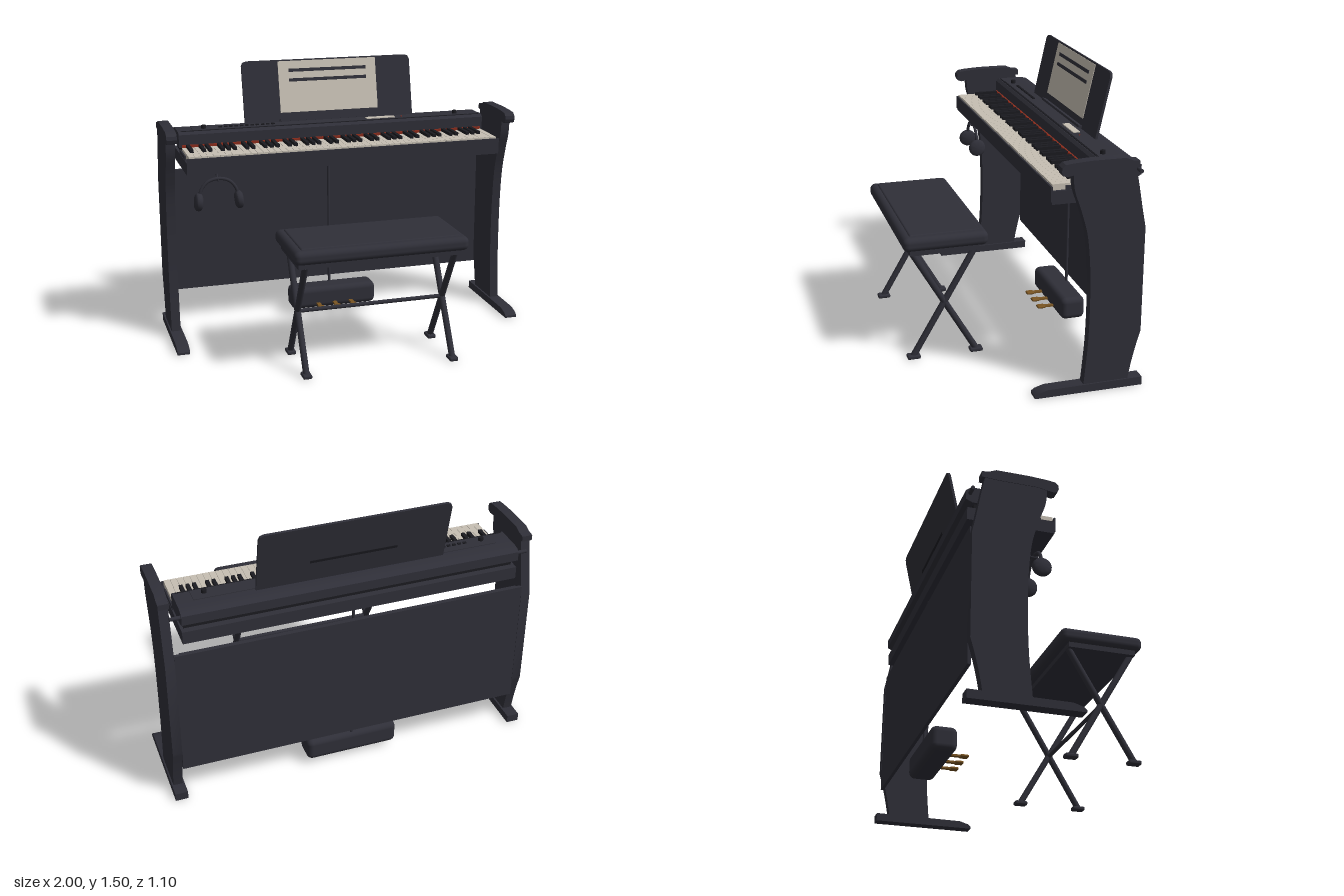
import * as THREE from 'three';
import { mergeGeometries, toCreasedNormals } from 'three/addons/utils/BufferGeometryUtils.js';
import { RoundedBoxGeometry } from 'three/addons/geometries/RoundedBoxGeometry.js';

const material = (name, color) => {
  const m = new THREE.MeshStandardMaterial({ color });
  m.name = name;
  return m;
};

export function createModel() {
  const body = material('charcoal', 0x2f2f38);
  const dark = material('black', 0x1b1b20);
  const ivory = material('ivory', 0xc6bfb3);
  const red = material('red felt', 0x8c2c1c);
  const brass = material('brass', 0x7a5522);

  const model = new THREE.Group();
  model.name = 'digitalPianoAndBench';

  const add = (name, geo, mat, parent = model) => {
    const mesh = new THREE.Mesh(geo, mat);
    mesh.name = name;
    parent.add(mesh);
    return mesh;
  };
  // Box geometry from its limits
  const span = (x0, x1, y0, y1, z0, z1, r = 0) => {
    const size = [x1 - x0, y1 - y0, z1 - z0];
    const g = r ? new RoundedBoxGeometry(...size, 3, r) : new THREE.BoxGeometry(...size);
    return g.translate((x0 + x1) / 2, (y0 + y1) / 2, (z0 + z1) / 2);
  };
  // Side outline of (z, y) points, extruded across x and centred on x
  const profile = (shape, width, x = 0) => {
    const g = new THREE.ExtrudeGeometry(shape, { depth: width, bevelEnabled: false, curveSegments: 10 });
    return toCreasedNormals(g.translate(0, 0, -width / 2).rotateY(-Math.PI / 2).translate(x, 0, 0), 0.5);
  };
  const outline = (pts) => new THREE.Shape(pts.map((p) => new THREE.Vector2(...p)));
  const tube = (pts, r, n = 24) =>
    new THREE.TubeGeometry(new THREE.CatmullRomCurve3(pts.map((p) => new THREE.Vector3(...p))), n, r, 10);
  const rod = (a, b, r) => {
    const from = new THREE.Vector3(...a), d = new THREE.Vector3(...b).sub(from);
    const g = new THREE.CylinderGeometry(r, r, d.length(), 14);
    g.applyQuaternion(new THREE.Quaternion().setFromUnitVectors(new THREE.Vector3(0, 1, 0), d.clone().normalize()));
    const c = from.addScaledVector(d, 0.5);
    return g.translate(c.x, c.y, c.z);
  };

  // Curved side stands with feet and arm caps
  const stand = new THREE.Shape();
  stand.moveTo(-0.24, 0.04);
  stand.splineThru([[-0.257, 0.25], [-0.262, 0.45], [-0.258, 0.65], [-0.24, 0.83], [-0.205, 0.96], [-0.168, 1.07], [-0.16, 1.16]]
    .map((p) => new THREE.Vector2(...p)));
  stand.lineTo(-0.475, 1.16);
  stand.splineThru([[-0.495, 1.06], [-0.515, 0.95], [-0.535, 0.85]].map((p) => new THREE.Vector2(...p)));
  stand.lineTo(-0.535, 0.3);
  stand.quadraticCurveTo(-0.495, 0.17, -0.475, 0.04);
  const foot = outline([[0.015, 0], [0.015, 0.012], [0, 0.025], [-0.05, 0.04], [-0.55, 0.044], [-0.55, 0]]);
  const cap = outline([[-0.1, 1.165], [-0.103, 1.185], [-0.12, 1.2], [-0.16, 1.205], [-0.25, 1.21], [-0.42, 1.21],
    [-0.455, 1.195], [-0.492, 1.19], [-0.492, 1.16], [-0.4, 1.155], [-0.21, 1.155], [-0.17, 1.147], [-0.125, 1.14], [-0.107, 1.147]]);
  for (const s of [-1, 1]) {
    const side = new THREE.Group();
    side.name = s > 0 ? 'leftStand' : 'rightStand';
    model.add(side);
    add('sidePanel', profile(stand, 0.05, s * 0.967), body, side);
    add('standFoot', profile(foot, 0.068, s * 0.966), body, side);
    add('armCap', profile(cap, 0.056, s * 0.967), body, side);
    add('mountingPin', rod([s * 0.89, 1.12, -0.522], [s * 0.95, 1.12, -0.522], 0.01), body, side);
  }

  // Back board with its upper beam
  add('backBoard', span(-0.943, 0.943, 0.19, 0.905, -0.533, -0.515), body);
  add('backBeam', span(-0.915, 0.915, 0.825, 0.905, -0.515, -0.508), body);

  // Keyboard case
  add('keybed', span(-0.895, 0.895, 0.972, 1.04, -0.535, -0.09), body);
  add('frontLip', span(-0.895, 0.895, 0.985, 1.062, -0.092, -0.084), body);
  for (const s of [-1, 1]) add('keyCheek', span(s * 0.889 - 0.004, s * 0.889 + 0.004, 1.04, 1.062, -0.335, -0.16), body);
  add('keyWell', span(-0.88, 0.88, 1.04, 1.072, -0.5, -0.335), dark);
  add('controlCase', profile(outline([[-0.337, 1.07], [-0.337, 1.14], [-0.352, 1.154], [-0.49, 1.155], [-0.525, 1.148],
    [-0.543, 1.135], [-0.543, 1.085], [-0.51, 1.07]]), 1.79), body);
  add('controlPanel', span(-0.81, 0.81, 1.154, 1.158, -0.45, -0.365), body);
  add('caseTrim', span(-0.88, 0.88, 1.154, 1.157, -0.362, -0.356), dark);
  add('feltStrip', span(-0.88, 0.88, 1.069, 1.084, -0.337, -0.325), red);

  // 52 white and 36 black keys, starting on A
  const whites = [], blacks = [], pitch = 1.764 / 52;
  for (let i = 0; i < 52; i++) {
    const x = -0.882 + i * pitch;
    whites.push(span(x + 0.0007, x + pitch - 0.0007, 1.04, 1.071, -0.33, -0.094));
    if (i < 51 && [0, 2, 3, 5, 6].includes(i % 7)) {
      blacks.push(span(x + pitch - 0.0095, x + pitch + 0.0095, 1.06, 1.088, -0.325, -0.19));
    }
  }
  add('whiteKeys', mergeGeometries(whites), ivory);
  add('blackKeys', mergeGeometries(blacks), dark);

  // Controls: display, buttons, knobs
  add('display', span(0.2, 0.37, 1.157, 1.163, -0.42, -0.382), ivory);
  add('indicator', span(0.41, 0.418, 1.157, 1.161, -0.404, -0.396), red);
  const buttons = [];
  for (let i = 0; i < 11; i++) buttons.push(span(-0.66 + i * 0.03, -0.642 + i * 0.03, 1.156, 1.165, -0.407, -0.395));
  add('buttons', mergeGeometries(buttons), dark);
  for (const s of [-1, 1]) {
    add('knob', new THREE.CylinderGeometry(0.013, 0.014, 0.02, 20).translate(s * 0.745, 1.166, -0.4), dark);
  }

  // Tilted music rest with sheet
  const rest = new THREE.Group();
  rest.name = 'musicRest';
  rest.position.set(0, 1.15, -0.452);
  rest.rotation.x = -0.215;
  model.add(rest);
  const board = outline([[-0.5, 0], [0.5, 0], [0.5, 0.33], [0.492, 0.35], [0.472, 0.358], [-0.472, 0.358], [-0.492, 0.35], [-0.5, 0.33]]);
  add('restBoard', new THREE.ExtrudeGeometry(board, { depth: 0.013, bevelEnabled: false }).translate(0, 0, -0.013), body, rest);
  add('sheet', span(-0.29, 0.29, 0.058, 0.35, 0, 0.003), ivory, rest);
  for (const y of [0.296, 0.241]) add('sheetBar', span(-0.23, 0.23, y - 0.009, y + 0.009, 0.003, 0.006), body, rest);
  add('restSlot', span(-0.23, 0.23, 0.125, 0.14, -0.015, -0.013), dark, rest);
  add('restLedge', span(-0.3, 0.3, 0.01, 0.022, 0, 0.02), body, rest);

  // Pedal unit and its cable
  add('pedalBox', span(-0.256, 0.256, 0.032, 0.16, -0.523, -0.385, 0.032), body);
  add('pedalCable', rod([0, 0.14, -0.5], [0, 0.98, -0.5], 0.008), body);
  for (const x of [-0.1, 0, 0.1]) {
    add('pedalArm', span(x - 0.011, x + 0.011, 0.057, 0.067, -0.4, -0.32), brass);
    add('pedalTip', span(x - 0.02, x + 0.02, 0.055, 0.07, -0.335, -0.29, 0.007), brass);
  }

  // Headphones on a hook
  const phones = new THREE.Group();
  phones.name = 'headphones';
  model.add(phones);
  add('hook', tube([[-0.72, 0.975, -0.178], [-0.72, 0.945, -0.177], [-0.72, 0.928, -0.165], [-0.72, 0.922, -0.14], [-0.72, 0.925, -0.115]], 0.006), body, phones);
  add('headband', tube([[-0.825, 0.82, -0.135], [-0.818, 0.87, -0.135], [-0.78, 0.918, -0.135], [-0.72, 0.934, -0.135],
    [-0.66, 0.918, -0.135], [-0.622, 0.87, -0.135], [-0.615, 0.82, -0.135]], 0.009, 32), body, phones);
  const cup = [[0, -0.02], [0.036, -0.02], [0.047, -0.012], [0.05, 0], [0.047, 0.012], [0.036, 0.02], [0, 0.02]]
    .map((p) => new THREE.Vector2(...p));
  for (const s of [-1, 1]) {
    const ear = add('earCup', toCreasedNormals(new THREE.LatheGeometry(cup, 28), 0.7), body, phones);
    ear.rotation.z = Math.PI / 2 + s * 0.08;
    ear.position.set(-0.72 + s * 0.111, 0.81, -0.135);
  }

  // Bench with cushion and crossed legs
  const bench = new THREE.Group();
  bench.name = 'bench';
  model.add(bench);
  add('cushion', span(-0.47, 0.47, 0.622, 0.697, 0.098, 0.548, 0.03), body, bench);
  add('cushionTop', span(-0.43, 0.43, 0.68, 0.703, 0.135, 0.51, 0.01), body, bench);
  add('seatFrame', span(-0.445, 0.445, 0.595, 0.625, 0.143, 0.512), body, bench);
  add('crossBar', rod([-0.405, 0.305, 0.325], [0.405, 0.305, 0.325], 0.011), body, bench);
  for (const x of [-0.405, 0.405]) {
    for (const s of [-1, 1]) {
      add('leg', rod([x, 0.012, 0.325 + s * 0.172], [x, 0.602, 0.325 - s * 0.172], 0.017), body, bench);
      const z = 0.325 + s * 0.17;
      add('benchFoot', span(x - 0.024, x + 0.024, 0, 0.022, z - 0.035, z + 0.035, 0.008), body, bench);
    }
  }
  return model;
}
